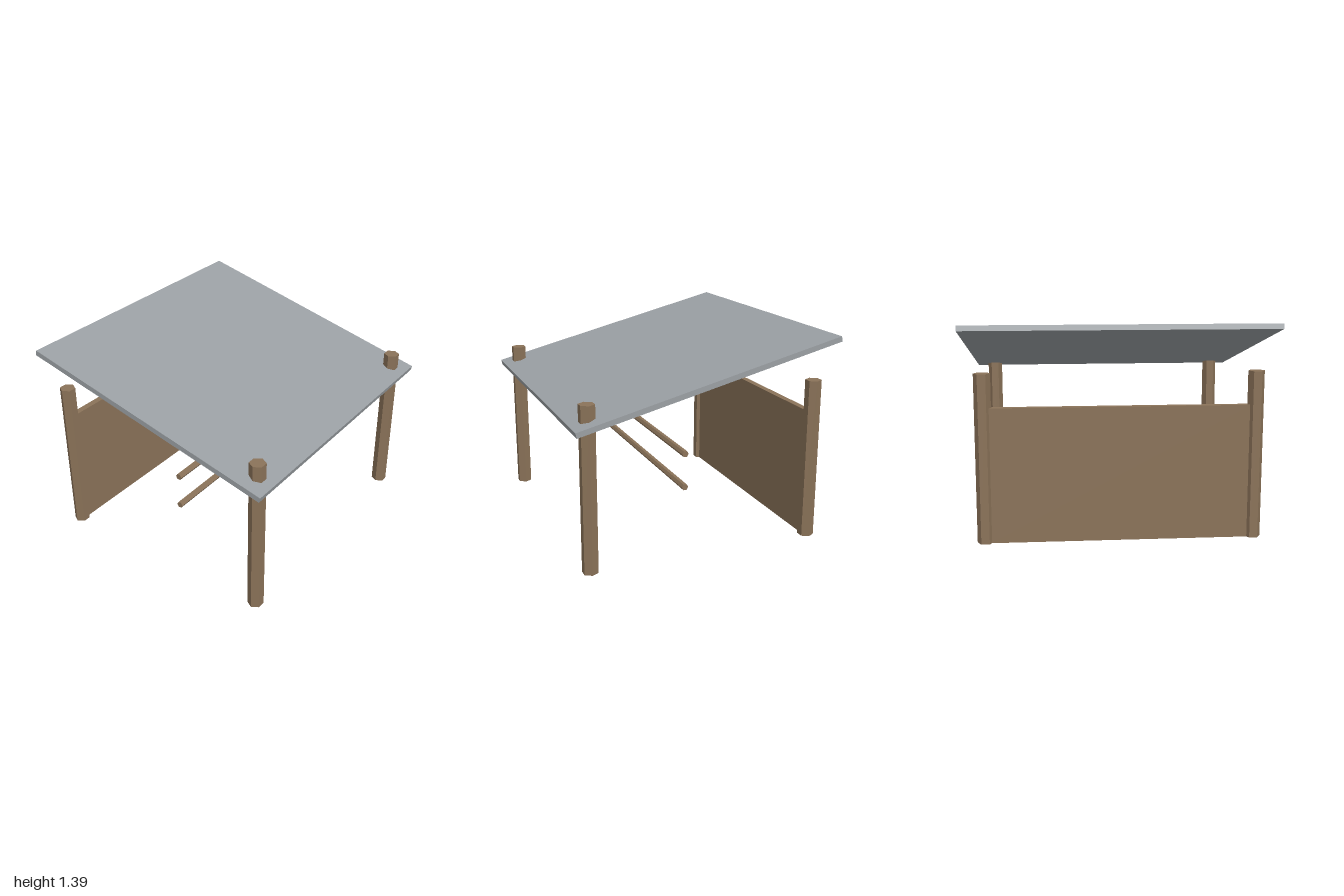
import * as THREE from 'three';

export function createModel() {
  const shelter = new THREE.Group();
  shelter.name = 'shelter';
  const wood = new THREE.MeshStandardMaterial({ color: 0x8b7359, flatShading: true });
  const sheet = new THREE.MeshStandardMaterial({ color: 0x9a9fa3, flatShading: true });

  function add(name, geometry, material, x, y, z) {
    const mesh = new THREE.Mesh(geometry, material);
    mesh.name = name;
    mesh.position.set(x, y, z);
    shelter.add(mesh);
    return mesh;
  }

  // Four hexagonal corner posts, corners pointing sideways
  const post = new THREE.CylinderGeometry(0.053, 0.053, 1.09, 6).rotateY(Math.PI / 6);
  for (const [end, z] of [['front', 0.773], ['back', -0.773]]) {
    add(end + 'LeftPost', post, wood, 0.863, 0.545, z);
    add(end + 'RightPost', post, wood, -0.863, 0.545, z);
  }

  // Back wall between the rear posts
  add('backWall', new THREE.BoxGeometry(1.66, 0.873, 0.045), wood, 0, 0.4365, -0.773);

  // Two hexagonal rails across the middle, corners pointing front and back
  const rail = new THREE.CylinderGeometry(0.022, 0.022, 1.546, 6).rotateZ(Math.PI / 2);
  add('lowerRail', rail, wood, 0, 0.433, 0.093);
  add('upperRail', rail, wood, 0, 0.66, 0.093);

  // Roof sheet sloping down to the front, pierced by the front posts
  const roof = add('roof', new THREE.BoxGeometry(2, 0.035, 1.814), sheet, 0, 1.162, 0);
  roof.rotation.x = 0.24;

  return shelter;
}
